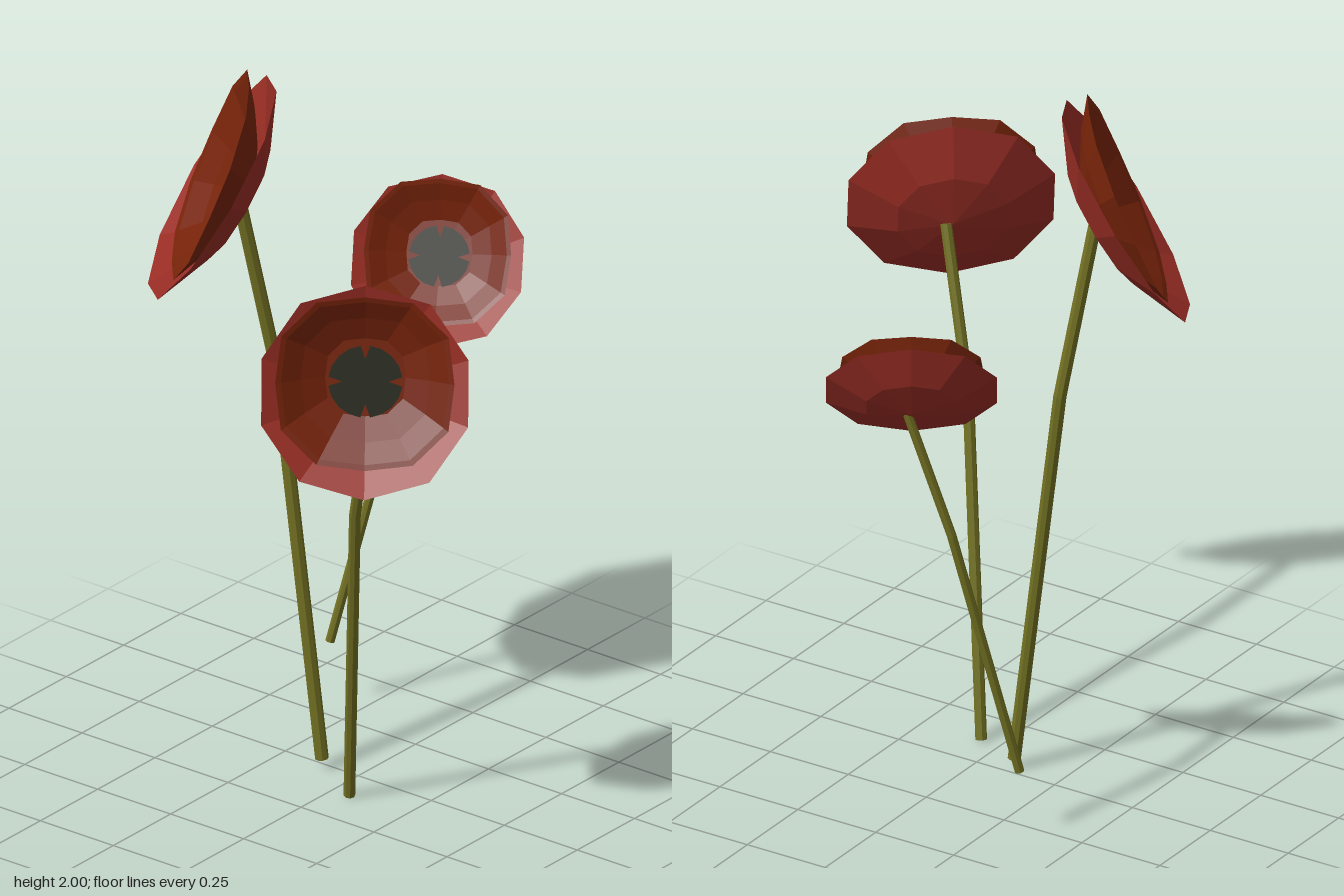
import * as THREE from 'three';

const flat = (name, color, side = THREE.DoubleSide) => {
  const m = new THREE.MeshStandardMaterial({ color, flatShading: true, side });
  m.name = name;
  return m;
};

const V = (a) => new THREE.Vector3(...a);

// Open cup: a lathed profile, slightly squared off by angle
function cup(profile, sides, square) {
  const geo = new THREE.LatheGeometry(profile.map(([r, y]) => new THREE.Vector2(r, y)), sides);
  const p = geo.attributes.position;
  for (let i = 0; i < p.count; i++) {
    const x = p.getX(i), z = p.getZ(i);
    const k = 1 - square * Math.cos(4 * Math.atan2(z, x));
    p.setXYZ(i, x * k, p.getY(i), z * k);
  }
  return geo;
}

// Round seed disc with four narrow notches
function seedDisc(radius) {
  const shape = new THREE.Shape();
  for (let q = 0; q < 4; q++) {
    const a = q * Math.PI / 2;
    const at = (r, t) => [Math.cos(a + t) * r, Math.sin(a + t) * r];
    if (q === 0) shape.moveTo(...at(radius * 0.62, 0));
    else shape.lineTo(...at(radius * 0.62, 0));
    for (let s = 0; s <= 4; s++) shape.lineTo(...at(radius, 0.13 + s * (Math.PI / 2 - 0.26) / 4));
  }
  return new THREE.ShapeGeometry(shape).rotateX(-Math.PI / 2);
}

export function createModel() {
  const model = new THREE.Group();
  const red = flat('petal red', 0x982d24);
  const rust = flat('inner petal rust', 0x762309);
  const dark = flat('seed dark', 0x292b20);
  const olive = flat('stem olive', 0x727022, THREE.FrontSide);

  const add = (parent, name, geo, mat) => {
    const mesh = new THREE.Mesh(geo, mat);
    mesh.name = name;
    parent.add(mesh);
    return mesh;
  };

  // Straight piece of stem between two points
  const stemPiece = (parent, name, a, b, radius) => {
    const dir = b.clone().sub(a);
    const mesh = add(parent, name, new THREE.CylinderGeometry(radius, radius, dir.length() + radius * 0.2, 8), olive);
    mesh.position.copy(a).add(b).multiplyScalar(0.5);
    mesh.quaternion.setFromUnitVectors(new THREE.Vector3(0, 1, 0), dir.normalize());
  };

  const flowers = [
    { name: 'tallFlower', base: [-0.092, 1.667, -0.3], facing: [-0.52, 0.515, -0.68], scale: 1.06,
      stem: [[-0.025, 0.035, -0.105], [-0.05, 1.15, -0.235], [-0.133, 1.655, -0.295]], radius: 0.0185 },
    { name: 'frontFlower', base: [-0.36, 1.4, 0.308], facing: [-0.745, 0.345, 0.56], scale: 0.915,
      stem: [[-0.115, 0.008, 0.06], [-0.282, 0.95, 0.21], [-0.358, 1.385, 0.33]], radius: 0.016 },
    { name: 'smallFlower', base: [0.513, 1.309, -0.123], facing: [-0.675, 0.58, 0.434], scale: 0.755,
      stem: [[0.3, 0.195, -0.332], [0.44, 0.93, -0.205], [0.498, 1.295, -0.1]], radius: 0.013 },
  ];

  for (const f of flowers) {
    const flower = new THREE.Group();
    flower.name = f.name;
    model.add(flower);

    // Bent stem
    const [foot, knee, top] = f.stem.map(V);
    stemPiece(flower, 'lowerStem', foot, knee, f.radius);
    stemPiece(flower, 'upperStem', knee, top, f.radius);

    // Blossom: local y is the facing direction, local z points down the slope
    const head = new THREE.Group();
    head.name = 'blossom';
    const n = V(f.facing).normalize();
    const down = n.clone().multiplyScalar(n.y).sub(new THREE.Vector3(0, 1, 0)).normalize();
    head.quaternion.setFromRotationMatrix(
      new THREE.Matrix4().makeBasis(n.clone().cross(down), n, down));
    head.position.copy(V(f.base));
    head.scale.setScalar(f.scale);
    flower.add(head);

    const outer = add(head, 'outerPetals', cup([[0, 0], [0.17, 0.028], [0.322, 0.1]], 10, 0.015), red);
    outer.position.z = 0.018;

    // Inner cup nods forward a little, carrying the seed disc
    const heart = new THREE.Group();
    heart.name = 'heart';
    heart.position.z = -0.03;
    heart.rotation.x = 0.16;
    head.add(heart);
    add(heart, 'innerPetals',
      cup([[0, 0.038], [0.125, 0.042], [0.2, 0.076], [0.278, 0.124], [0.261, 0.118]], 12, 0.05), rust);
    const seeds = add(heart, 'seedDisc', seedDisc(0.11), dark);
    seeds.position.set(0, 0.047, 0.012);
  }
  return model;
}
